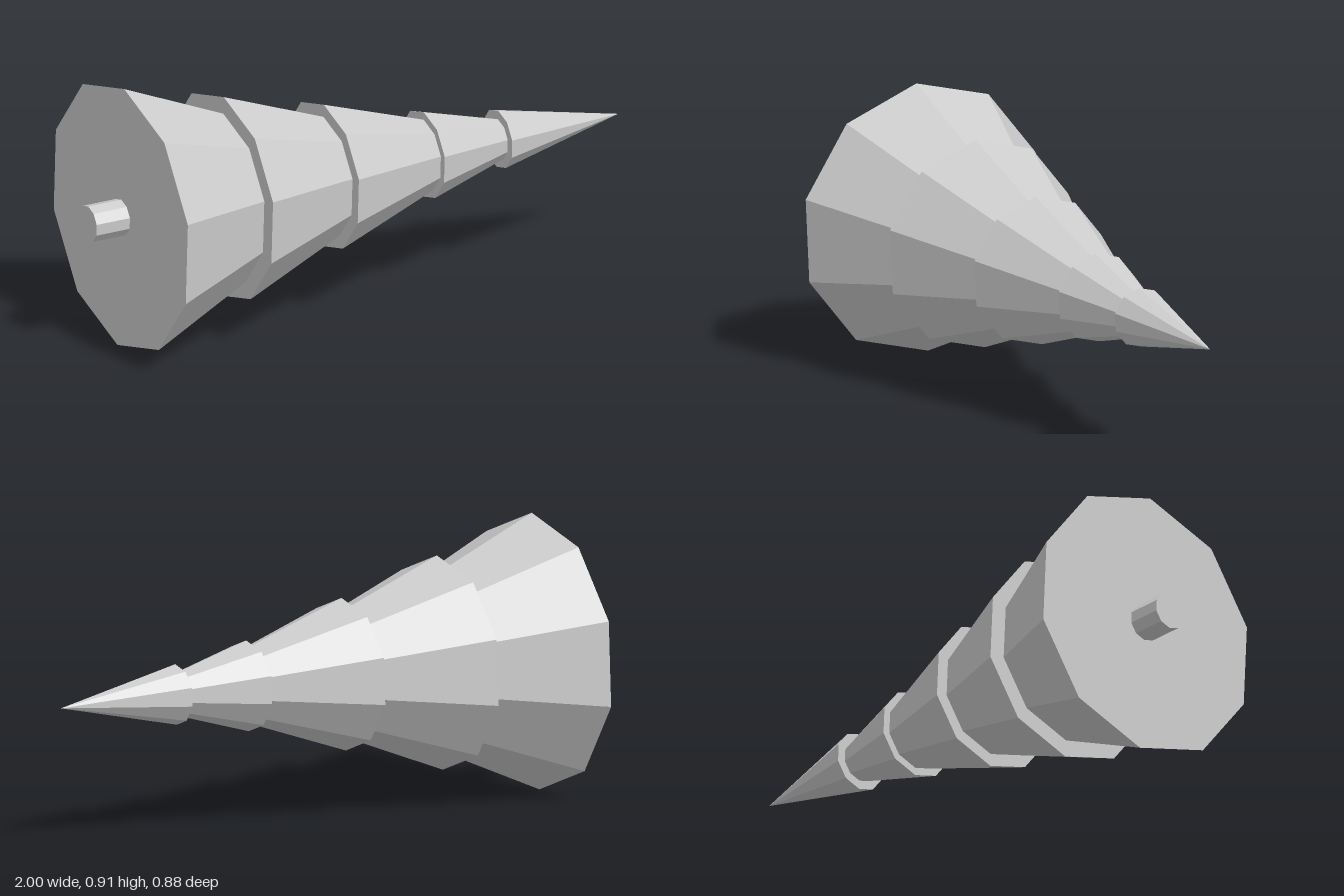
import * as THREE from 'three';

const SIDES = 10;
const CENTRE_Y = 0.456;
const START = THREE.MathUtils.degToRad(2.8 - 90); // slight roll of the ten-sided section

export function createModel() {
  const model = new THREE.Group();
  model.name = 'fallenFirTree';
  const grey = new THREE.MeshStandardMaterial({ color: 0xcccccc, flatShading: true });
  grey.name = 'plain grey';

  // Ten-sided piece lying along x, from x0 (radius r0) to x1 (radius r1)
  const addPiece = (name, x0, x1, r0, r1) => {
    const geometry = new THREE.CylinderGeometry(r1, r0, x1 - x0, SIDES, 1, false, START);
    geometry.rotateZ(-Math.PI / 2);
    const mesh = new THREE.Mesh(geometry, grey);
    mesh.name = name;
    mesh.position.set((x0 + x1) / 2, CENTRE_Y, 0);
    model.add(mesh);
  };

  // Trunk stub
  addPiece('trunk', -1, -0.86, 0.062, 0.062);

  // Overlapping foliage cones: base x, apex x, base radius
  const tiers = [
    [-0.875, 0.19, 0.457],
    [-0.497, 0.43, 0.354],
    [-0.117, 0.63, 0.252],
    [0.263, 0.79, 0.15],
    [0.545, 1, 0.1],
  ];
  tiers.forEach(([base, apex, radius], i) => addPiece(`foliageTier${i + 1}`, base, apex, radius, 0));

  return model;
}
